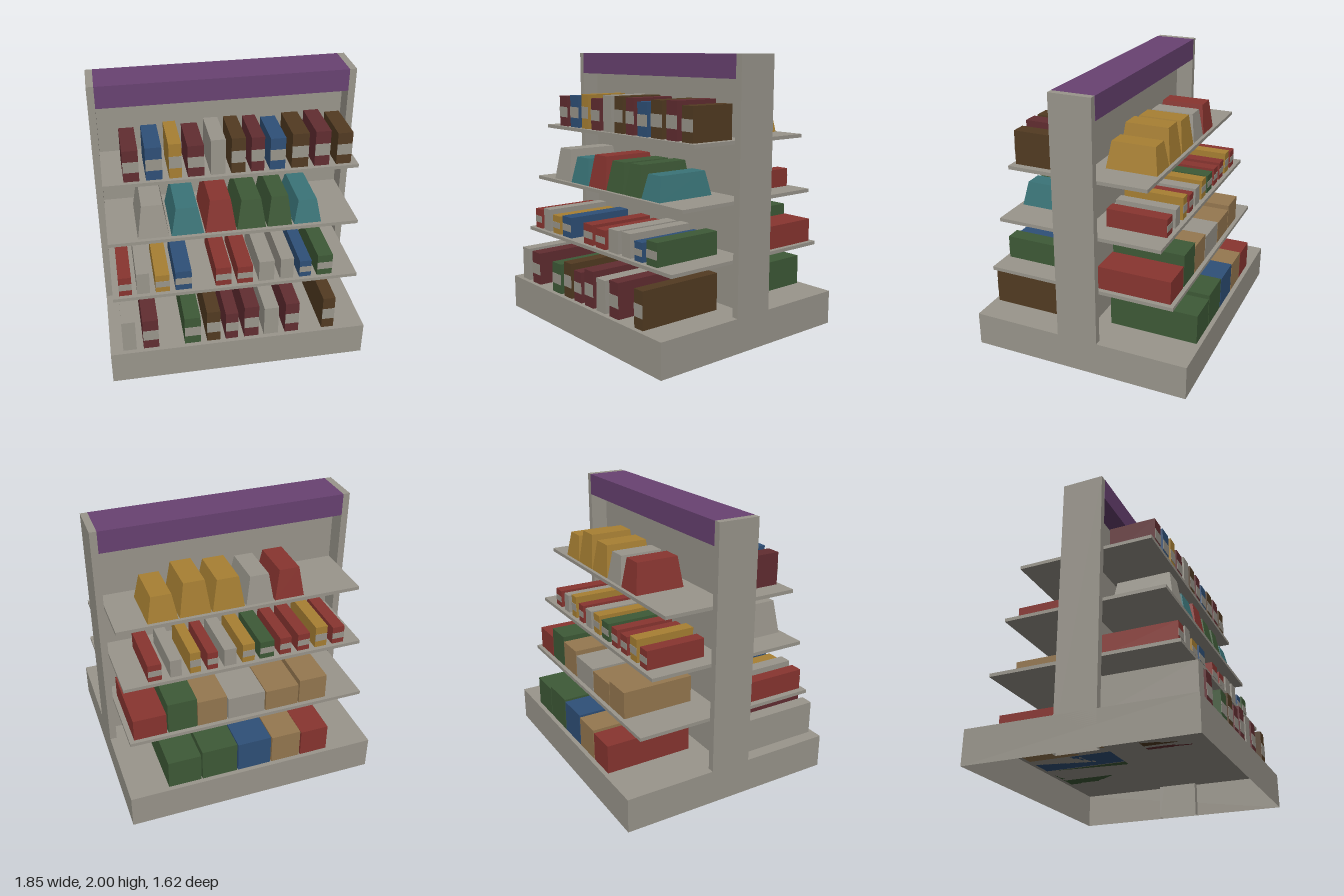
import * as THREE from 'three';

const mat = (name, color, side = THREE.FrontSide) => {
  const m = new THREE.MeshStandardMaterial({ color, side });
  m.name = name;
  return m;
};

export function createModel() {
  const root = new THREE.Group();
  root.name = 'storeShelf';
  const M = {
    gray: mat('warm gray', 0x9a968c, THREE.DoubleSide),
    purple: mat('purple', 0x694272),
    maroon: mat('maroon', 0x622d31),
    blue: mat('blue', 0x2f5078),
    yellow: mat('yellow', 0xa88033),
    brown: mat('brown', 0x523b22),
    red: mat('red', 0x893530),
    green: mat('green', 0x3e5a37),
    teal: mat('teal', 0x3a7478),
    tan: mat('tan', 0x967850),
  };

  // box from min/max corners; open = no bottom face
  function box(parent, name, color, x0, x1, y0, y1, z0, z1, open = false) {
    const g = new THREE.BoxGeometry(x1 - x0, y1 - y0, z1 - z0);
    if (open) {
      const idx = Array.from(g.index.array);
      idx.splice(18, 6);
      g.setIndex(idx);
      g.clearGroups();
    }
    g.translate((x0 + x1) / 2, (y0 + y1) / 2, (z0 + z1) / 2);
    const m = new THREE.Mesh(g, M[color]);
    m.name = name;
    parent.add(m);
    return m;
  }

  // fixture: hollow base, end posts, centre panel, header
  box(root, 'base', 'gray', -0.925, 0.925, 0, 0.25, -0.81, 0.81, true);
  box(root, 'leftPost', 'gray', 0.875, 0.925, 0, 2, -0.15, 0.15, true);
  box(root, 'rightPost', 'gray', -0.925, -0.875, 0, 2, -0.15, 0.15, true);
  box(root, 'backPanel', 'gray', -0.875, 0.875, 0.25, 1.84, -0.02, 0.02);
  box(root, 'header', 'purple', -0.875, 0.875, 1.84, 2, -0.152, 0.152);

  // shelves on both sides of the panel
  for (const [y, z] of [[0.62, 0.685], [1.02, 0.595], [1.42, 0.5]]) {
    for (const [name, a, b] of [['frontShelf', 0.02, z], ['backShelf', -z, -0.02]]) {
      box(root, name, 'gray', -0.875, 0.875, y, y + 0.025, a, b);
    }
  }

  const group = (name) => {
    const g = new THREE.Group();
    g.name = name;
    root.add(g);
    return g;
  };

  // row of cartons, side = 1 front, -1 back; items are [x0, x1, top, color]
  function cartons(name, side, base, front, labelled, items) {
    const g = group(name);
    for (const [x0, x1, top, color] of items) {
      const z = [side * 0.13, side * front].sort((a, b) => a - b);
      box(g, 'carton', color, x0, x1, base, top, z[0], z[1]);
      if (labelled && color !== 'gray') {
        const h = top - base;
        const l = [side * front, side * (front + 0.003)].sort((a, b) => a - b);
        box(g, 'label', 'gray', x0, x1, base + 0.3 * h, base + 0.64 * h, l[0], l[1]);
      }
    }
  }

  // row of tapered bags
  function bags(name, side, base, front, items) {
    const g = group(name);
    for (const [x0, x1, top, color] of items) {
      const z = [side * 0.11, side * front].sort((a, b) => a - b);
      const m = box(g, 'bag', color, x0, x1, base, top, z[0], z[1]);
      const p = m.geometry.attributes.position;
      const cx = (x0 + x1) / 2, cz = (z[0] + z[1]) / 2;
      for (let i = 0; i < p.count; i++) {
        if (p.getY(i) < (base + top) / 2) continue;
        p.setX(i, cx + (p.getX(i) - cx) * 0.67);
        p.setZ(i, cz + (p.getZ(i) - cz) * 0.85);
      }
      m.geometry = m.geometry.toNonIndexed();
      m.geometry.computeVertexNormals();
    }
  }

  // front goods, top to bottom
  cartons('frontTopCartons', 1, 1.445, 0.47, true, [
    [-0.735, -0.63, 1.675, 'maroon'], [-0.585, -0.475, 1.685, 'blue'],
    [-0.43, -0.345, 1.7, 'yellow'], [-0.305, -0.195, 1.675, 'maroon'],
    [-0.15, -0.05, 1.705, 'gray'], [-0.01, 0.085, 1.705, 'brown'],
    [0.125, 0.215, 1.7, 'maroon'], [0.255, 0.36, 1.68, 'blue'],
    [0.405, 0.52, 1.7, 'brown'], [0.565, 0.67, 1.705, 'maroon'],
    [0.72, 0.825, 1.68, 'brown'],
  ]);
  bags('frontBags', 1, 1.045, 0.567, [
    [-0.67, -0.455, 1.285, 'gray'], [-0.44, -0.215, 1.24, 'teal'],
    [-0.205, 0.01, 1.28, 'red'], [0.015, 0.22, 1.26, 'green'],
    [0.23, 0.405, 1.265, 'green'], [0.42, 0.615, 1.215, 'teal'],
  ]);
  cartons('frontSmallCartons', 1, 0.645, 0.655, true, [
    [-0.83, -0.74, 0.795, 'red'], [-0.705, -0.615, 0.815, 'gray'],
    [-0.575, -0.475, 0.785, 'yellow'], [-0.435, -0.32, 0.8, 'blue'],
    [-0.15, -0.04, 0.795, 'red'], [0.005, 0.115, 0.785, 'red'],
    [0.16, 0.27, 0.81, 'gray'], [0.315, 0.41, 0.815, 'gray'],
    [0.455, 0.54, 0.78, 'blue'], [0.585, 0.695, 0.81, 'green'],
  ]);
  cartons('frontBaseCartons', 1, 0.25, 0.777, true, [
    [-0.835, -0.74, 0.5, 'gray'], [-0.69, -0.58, 0.495, 'maroon'],
    [-0.395, -0.28, 0.475, 'green'], [-0.235, -0.14, 0.51, 'brown'],
    [-0.1, -0.01, 0.475, 'maroon'], [0.035, 0.14, 0.515, 'maroon'],
    [0.18, 0.285, 0.485, 'gray'], [0.335, 0.435, 0.505, 'maroon'],
    [0.61, 0.7, 0.515, 'brown'],
  ]);

  // back goods, top to bottom
  bags('backBags', -1, 1.445, 0.475, [
    [-0.46, -0.245, 1.66, 'red'], [-0.235, -0.035, 1.65, 'gray'],
    [-0.025, 0.205, 1.67, 'yellow'], [0.215, 0.435, 1.69, 'yellow'],
    [0.445, 0.655, 1.63, 'yellow'],
  ]);
  cartons('backSmallCartons', -1, 1.045, 0.565, true, [
    [-0.755, -0.665, 1.18, 'red'], [-0.62, -0.53, 1.21, 'yellow'],
    [-0.485, -0.395, 1.18, 'red'], [-0.345, -0.26, 1.18, 'red'],
    [-0.215, -0.11, 1.18, 'green'], [-0.07, 0.02, 1.19, 'yellow'],
    [0.065, 0.155, 1.18, 'gray'], [0.2, 0.275, 1.18, 'red'],
    [0.325, 0.4, 1.21, 'yellow'], [0.46, 0.54, 1.18, 'gray'],
    [0.6, 0.695, 1.175, 'red'],
  ]);
  cartons('backLargeCartons', -1, 0.645, 0.655, false, [
    [-0.6, -0.39, 0.84, 'tan'], [-0.38, -0.13, 0.81, 'tan'],
    [-0.12, 0.155, 0.82, 'gray'], [0.165, 0.38, 0.85, 'tan'],
    [0.385, 0.595, 0.885, 'green'], [0.605, 0.84, 0.81, 'red'],
  ]);
  cartons('backBaseCartons', -1, 0.25, 0.777, false, [
    [-0.58, -0.37, 0.46, 'red'], [-0.36, -0.14, 0.475, 'tan'],
    [-0.13, 0.12, 0.485, 'blue'], [0.13, 0.39, 0.495, 'green'],
    [0.4, 0.64, 0.47, 'green'],
  ]);

  return root;
}
